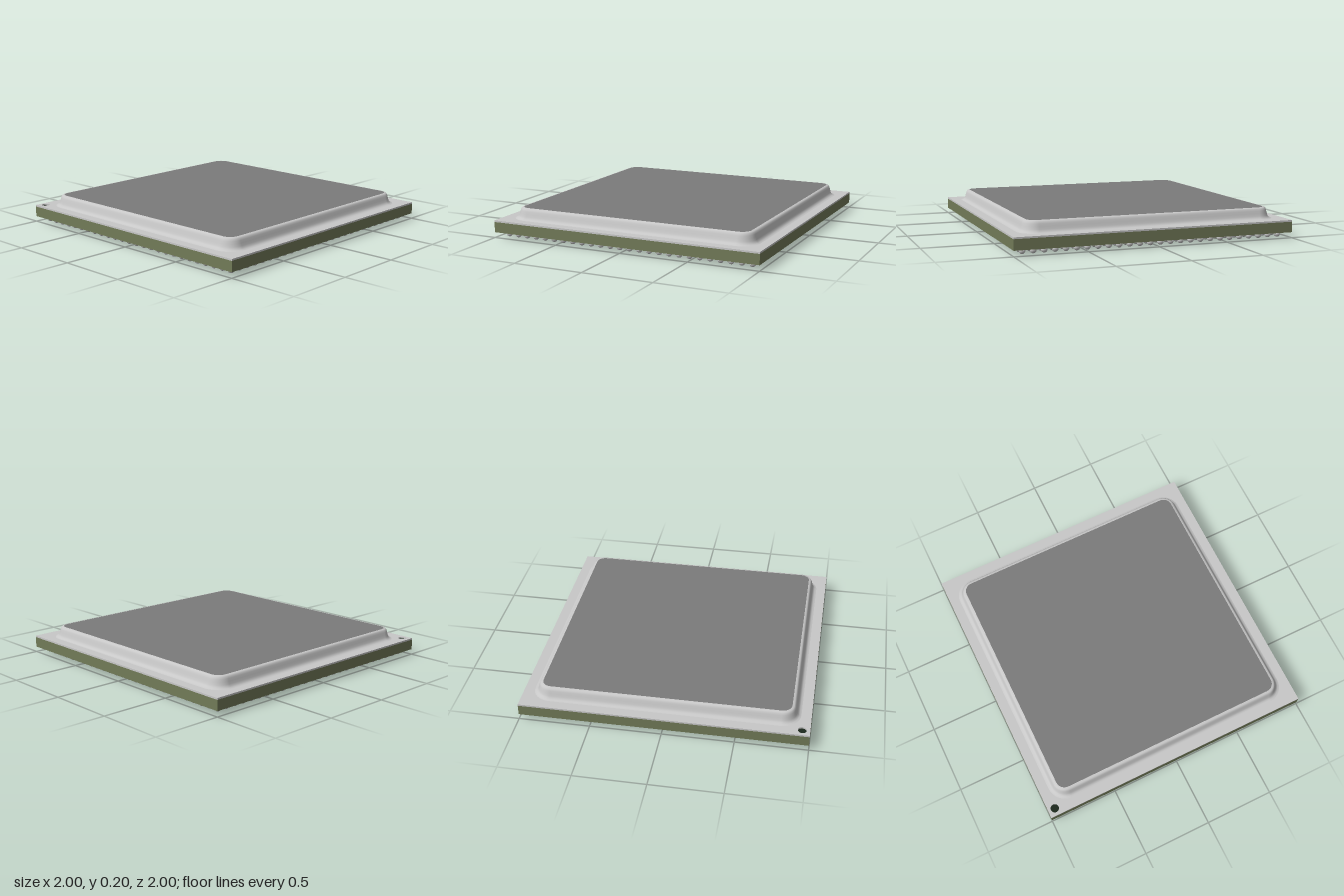
import * as THREE from 'three';
import { mergeGeometries } from 'three/addons/utils/BufferGeometryUtils.js';

const material = (name, color) => {
  const m = new THREE.MeshStandardMaterial({ color });
  m.name = name;
  return m;
};

const CORNER = 0.8; // shared centre of all rounded corners
const CORNER_STEPS = 8;

// Outline of a rounded square of the given half width, as [x, z] pairs
function roundedSquare(half) {
  const r = half - CORNER;
  const points = [];
  for (let q = 0; q < 4; q++) {
    const mid = q * Math.PI / 2 + Math.PI / 4;
    const cx = CORNER * Math.sign(Math.cos(mid));
    const cz = CORNER * Math.sign(Math.sin(mid));
    for (let i = 0; i <= CORNER_STEPS; i++) {
      const a = (q + i / CORNER_STEPS) * Math.PI / 2;
      points.push([cx + r * Math.cos(a), cz + r * Math.sin(a)]);
    }
  }
  return points;
}

// Smooth skirt through rounded squares given as [half width, height]
function skirtGeometry(profile) {
  const positions = [];
  const index = [];
  const n = 4 * (CORNER_STEPS + 1);
  for (const [half, y] of profile) {
    for (const [x, z] of roundedSquare(half)) positions.push(x, y, z);
  }
  for (let k = 0; k < profile.length - 1; k++) {
    for (let i = 0; i < n; i++) {
      const a = k * n + i;
      const b = k * n + (i + 1) % n;
      index.push(a, a + n, b, b, a + n, b + n);
    }
  }
  const g = new THREE.BufferGeometry();
  g.setAttribute('position', new THREE.Float32BufferAttribute(positions, 3));
  g.setIndex(index);
  g.computeVertexNormals();
  return g;
}

export function createModel() {
  const group = new THREE.Group();
  const silver = material('silver metal', 0xc8c8c8);
  const grey = material('lid top grey', 0x7b7b7b);
  const olive = material('board edge olive', 0x727b58);
  const darkGreen = material('solder mask dark green', 0x1c281c);

  const add = (name, geometry, mat) => {
    const mesh = new THREE.Mesh(geometry, mat);
    mesh.name = name;
    group.add(mesh);
    return mesh;
  };

  // Circuit board: olive edges, dark top and underside
  add('board', new THREE.BoxGeometry(2, 0.074, 2),
    [olive, olive, darkGreen, darkGreen, olive, olive]).position.y = 0.076;

  // Metal lid flange with the round orientation hole in its back right corner
  const flange = new THREE.Shape([[-1, -1], [1, -1], [1, 1], [-1, 1]].map(p => new THREE.Vector2(...p)));
  const hole = new THREE.Path();
  hole.absarc(-0.947, 0.949, 0.03, 0, Math.PI * 2, true);
  flange.holes.push(hole);
  const flangeGeometry = new THREE.ExtrudeGeometry(flange, { depth: 0.012, bevelEnabled: false, curveSegments: 16 });
  flangeGeometry.rotateX(-Math.PI / 2);
  add('lidFlange', flangeGeometry, silver).position.y = 0.113;

  // Raised lid wall, flared at the foot and rounded at the rim
  add('lidWall', skirtGeometry([
    [0.93, 0.125], [0.917, 0.128], [0.907, 0.136], [0.901, 0.148], [0.896, 0.165],
    [0.891, 0.183], [0.886, 0.196], [0.878, 0.203], [0.865, 0.205],
  ]), silver);

  // Flat lid top
  const top = new THREE.Shape(roundedSquare(0.865).map(p => new THREE.Vector2(...p)));
  const topGeometry = new THREE.ShapeGeometry(top);
  topGeometry.rotateX(-Math.PI / 2);
  add('lidTop', topGeometry, grey).position.y = 0.205;

  // Square grid of solder balls
  const COUNT = 26;
  const PITCH = 0.074;
  const ball = new THREE.SphereGeometry(0.022, 10, 8);
  const balls = [];
  for (let i = 0; i < COUNT; i++) {
    for (let j = 0; j < COUNT; j++) {
      const x = (i - (COUNT - 1) / 2) * PITCH;
      const z = (j - (COUNT - 1) / 2) * PITCH;
      balls.push(ball.clone().translate(x, 0.022, z));
    }
  }
  add('solderBalls', mergeGeometries(balls), silver);

  return group;
}
